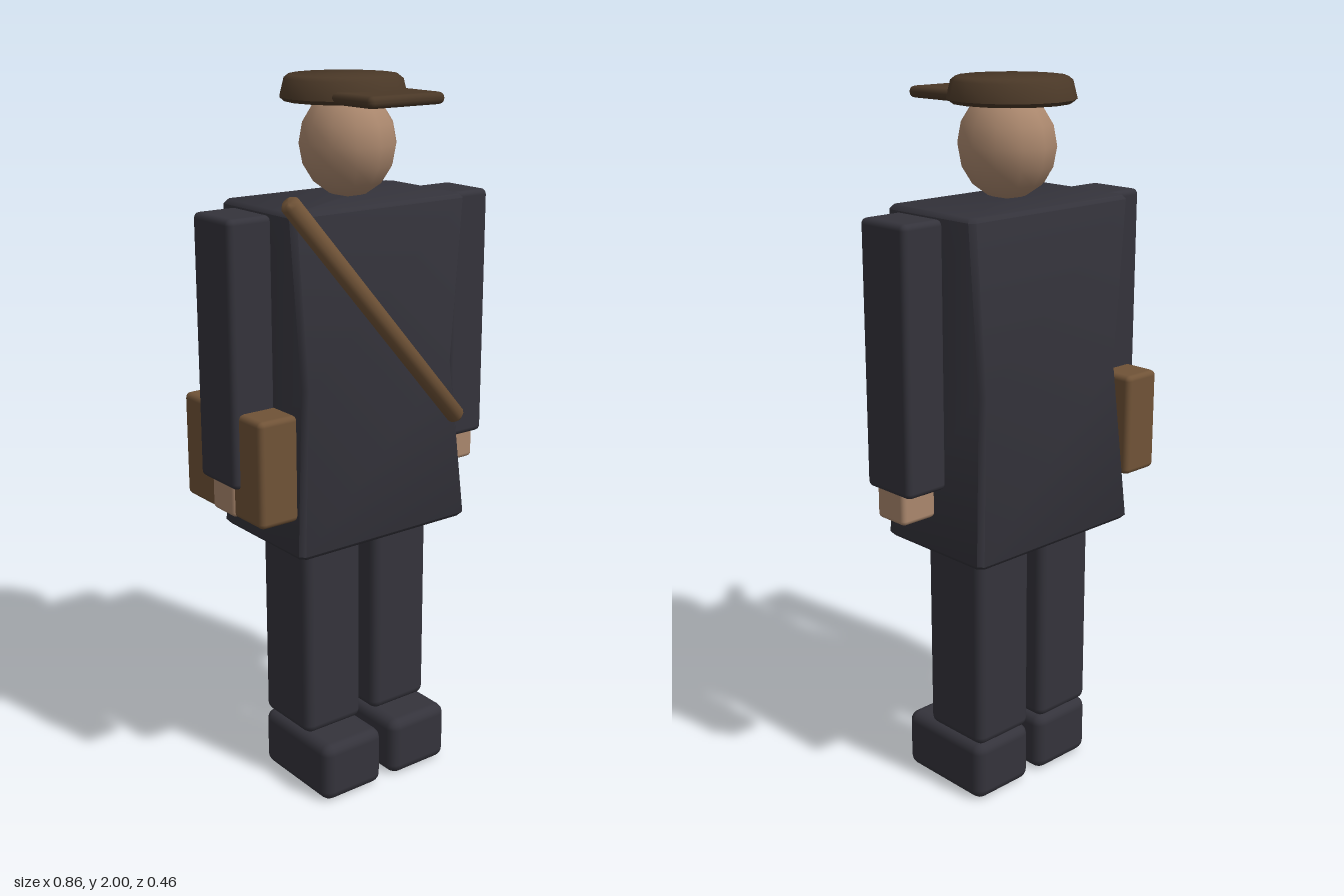
import * as THREE from 'three';
import { toCreasedNormals } from 'three/addons/utils/BufferGeometryUtils.js';
import { RoundedBoxGeometry } from 'three/addons/geometries/RoundedBoxGeometry.js';

const material = (name, color) => {
  const m = new THREE.MeshStandardMaterial({ color });
  m.name = name;
  return m;
};

// Closed loft through chamfered rectangles: each level is [y, halfX, halfZ]
function loftRectangles(levels, chamfer) {
  const positions = [];
  const index = [];
  for (const [y, hx, hz] of levels) {
    const c = chamfer;
    const ring = [
      [hx, -hz + c], [hx, hz - c], [hx - c, hz], [-hx + c, hz],
      [-hx, hz - c], [-hx, -hz + c], [-hx + c, -hz], [hx - c, -hz],
    ];
    for (const [x, z] of ring) positions.push(x, y, z);
  }
  const n = 8;
  const last = (levels.length - 1) * n;
  for (let l = 0; l < levels.length - 1; l++) {
    for (let i = 0; i < n; i++) {
      const a = l * n + i, b = l * n + (i + 1) % n;
      index.push(a, a + n, b, b, a + n, b + n);
    }
  }
  for (let i = 1; i < n - 1; i++) {
    index.push(0, i, i + 1);
    index.push(last, last + i + 1, last + i);
  }
  const g = new THREE.BufferGeometry();
  g.setAttribute('position', new THREE.Float32BufferAttribute(positions, 3));
  g.setIndex(index);
  return toCreasedNormals(g, 0.9);
}

export function createModel() {
  const model = new THREE.Group();
  const cloth = material('dark cloth', 0x34333b);
  const skin = material('skin', 0xaa876d);
  const leather = material('brown leather', 0x705337);
  const felt = material('dark brown felt', 0x4a3827);

  const add = (name, geometry, mat) => {
    const mesh = new THREE.Mesh(geometry, mat);
    mesh.name = name;
    model.add(mesh);
    return mesh;
  };
  // Rounded box given by its extents on each axis
  const box = (name, mat, [x0, x1], [y0, y1], [z0, z1], r) => {
    const mesh = add(name, new RoundedBoxGeometry(x1 - x0, y1 - y0, z1 - z0, 2, r), mat);
    mesh.position.set((x0 + x1) / 2, (y0 + y1) / 2, (z0 + z1) / 2);
    return mesh;
  };

  // Waisted coat with softened edges
  const coat = add('coat', loftRectangles([
    [0.76, 0.28, 0.18],
    [0.772, 0.29, 0.191],
    [1.22, 0.255, 0.163],
    [1.672, 0.288, 0.164],
    [1.683, 0.279, 0.156],
  ], 0.014), cloth);
  coat.position.z = -0.035;

  // Limbs, mirrored
  for (const [side, s] of [['left', 1], ['right', -1]]) {
    const span = (a, b) => (s > 0 ? [a, b] : [-b, -a]);
    box(side + 'Leg', cloth, span(0.022, 0.217), [0.175, 0.82], [-0.143, 0.073], 0.025);
    box(side + 'Boot', cloth, span(0.018, 0.222), [0, 0.175], [-0.143, 0.168], 0.03);
    box(side + 'Arm', cloth, span(0.3, 0.432), [0.965, 1.675], [-0.11, 0.06], 0.016);
    box(side + 'Hand', skin, span(0.308, 0.42), [0.88, 0.985], [-0.073, 0.035], 0.013);
  }

  // Head
  const head = add('head', new THREE.SphereGeometry(0.142, 12, 8), skin);
  head.scale.set(0.88, 1, 1);
  head.position.set(0, 1.825, -0.022);

  // Flat cap crown and brim
  const crownProfile = [[0, 1.933], [0.158, 1.933], [0.17, 1.943], [0.158, 1.99], [0.145, 2], [0, 2]]
    .map(([r, y]) => new THREE.Vector2(r, y));
  const crown = add('capCrown', toCreasedNormals(new THREE.LatheGeometry(crownProfile, 16), 0.8), felt);
  crown.position.z = -0.04;
  box('capBrim', felt, [-0.122, 0.122], [1.935, 1.966], [0.0, 0.23], 0.0145);

  // Diagonal strap with chamfered ends
  const from = new THREE.Vector3(0.248, 1.065, 0.157);
  const to = new THREE.Vector3(-0.32, 1.722, 0.157);
  const half = from.distanceTo(to) / 2;
  const strapProfile = [[0, -half], [0.017, -half], [0.026, -half + 0.01], [0.026, half - 0.01], [0.017, half], [0, half]]
    .map(([r, y]) => new THREE.Vector2(r, y));
  const strap = add('shoulderStrap', toCreasedNormals(new THREE.LatheGeometry(strapProfile, 12), 0.9), leather);
  strap.position.copy(from).add(to).multiplyScalar(0.5);
  strap.quaternion.setFromUnitVectors(new THREE.Vector3(0, 1, 0), to.clone().sub(from).normalize());

  // Satchel at the right hip
  box('satchel', leather, [-0.415, -0.295], [0.88, 1.172], [-0.21, 0.155], 0.015);

  return model;
}
